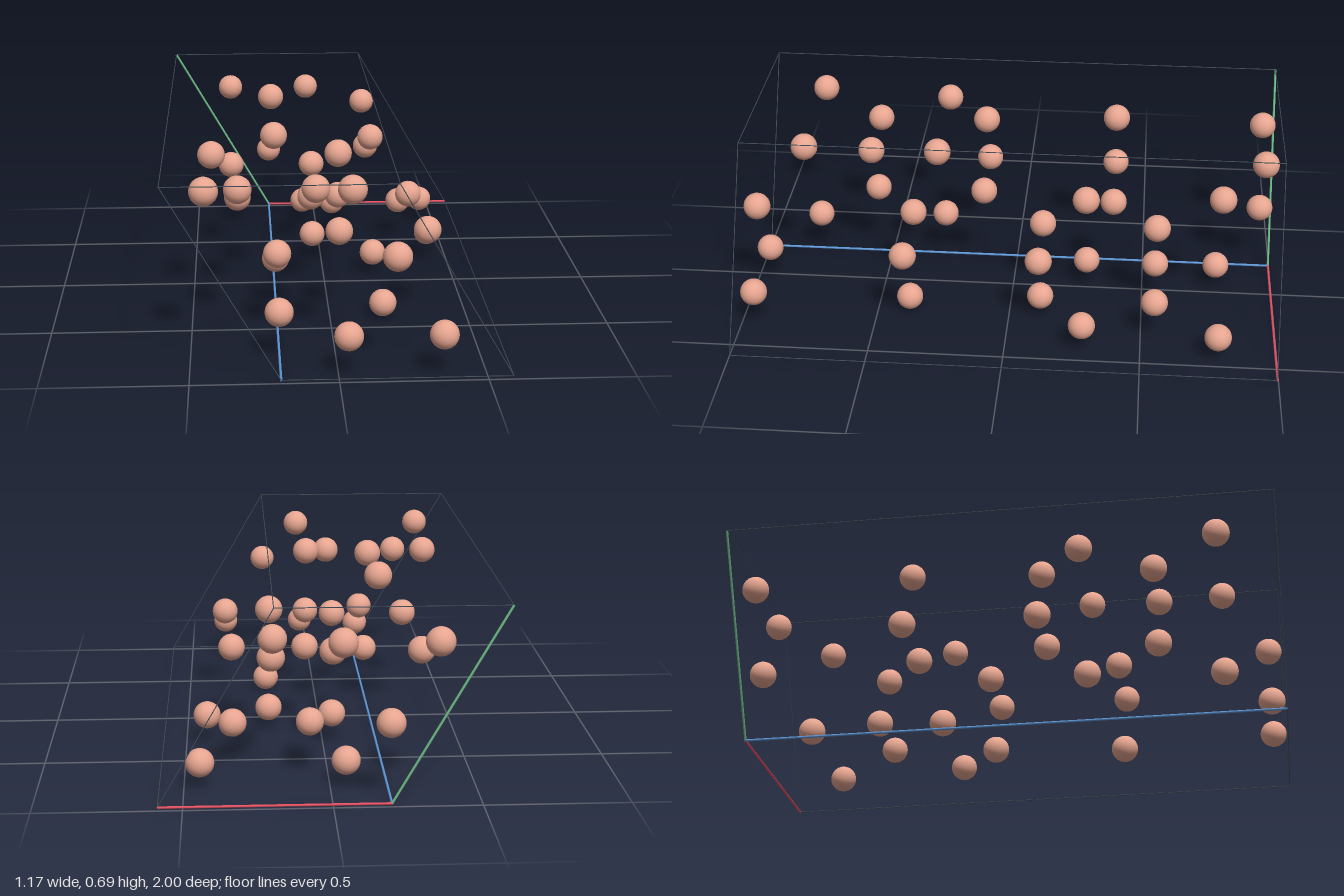
import * as THREE from 'three';

const flat = (name, color) => {
  const m = new THREE.MeshStandardMaterial({ color });
  m.name = name;
  return m;
};

export function createModel() {
  const model = new THREE.Group();
  model.name = 'crystalCell';

  const salmon = flat('salmon', 0xe6a590);
  const slate = flat('slate', 0x424e57);
  const red = flat('red', 0xe25062);
  const green = flat('green', 0x6cb884);
  const blue = flat('blue', 0x5e96d6);

  // Hexagonal cell: origin corner and its three edge vectors
  const side = 0.778, midY = 0.349, halfZ = 0.996;
  const height = side * Math.sqrt(3) / 2;
  const origin = new THREE.Vector3(-side / 4, midY - height / 2, -halfZ);
  const axes = [
    new THREE.Vector3(side, 0, 0),
    new THREE.Vector3(-side / 2, height, 0),
    new THREE.Vector3(0, 0, 2 * halfZ),
  ];
  const axisMaterials = [red, green, blue];
  const axisNames = ['redAxis', 'greenAxis', 'blueAxis'];

  // A thin rod from a point along a vector
  const rod = (name, start, vector, radius, material) => {
    const length = vector.length();
    const mesh = new THREE.Mesh(new THREE.CylinderGeometry(radius, radius, length, 12), material);
    mesh.name = name;
    mesh.position.copy(start).addScaledVector(vector, 0.5);
    mesh.quaternion.setFromUnitVectors(new THREE.Vector3(0, 1, 0), vector.clone().normalize());
    model.add(mesh);
  };

  // Twelve cell edges; the three at the origin are the coloured axes
  axes.forEach((vector, k) => {
    const p = axes[(k + 1) % 3], q = axes[(k + 2) % 3];
    for (const i of [0, 1]) for (const j of [0, 1]) {
      const start = origin.clone().addScaledVector(p, i).addScaledVector(q, j);
      if (i + j === 0) rod(axisNames[k], start, vector, 0.0044, axisMaterials[k]);
      else rod('cellEdge', start, vector, 0.0016, slate);
    }
  });

  // Atoms: triangles about two threefold axes, [axis side, z, radius, up or down]
  const triangles = [
    [-1, -0.945, 0.185, -1],
    [1, -0.782, 0.289, 1],
    [1, -0.547, 0.158, 1],
    [-1, -0.38, 0.185, 1],
    [1, -0.283, 0.265, 1],
    [1, -0.117, 0.158, -1],
  ];
  const ball = new THREE.SphereGeometry(0.05, 32, 20);
  for (const [axisSide, z, radius, up] of triangles) {
    for (let i = 0; i < 3; i++) {
      const angle = up * Math.PI / 2 + i * Math.PI * 2 / 3;
      const x = axisSide * side / 4 + radius * Math.cos(angle);
      const y = -axisSide * height / 6 + radius * Math.sin(angle);
      // each atom has a twin inverted through the cell centre
      for (const s of [1, -1]) {
        const atom = new THREE.Mesh(ball, salmon);
        atom.name = 'atom';
        atom.position.set(s * x, midY + s * y, s * z);
        model.add(atom);
      }
    }
  }
  return model;
}
